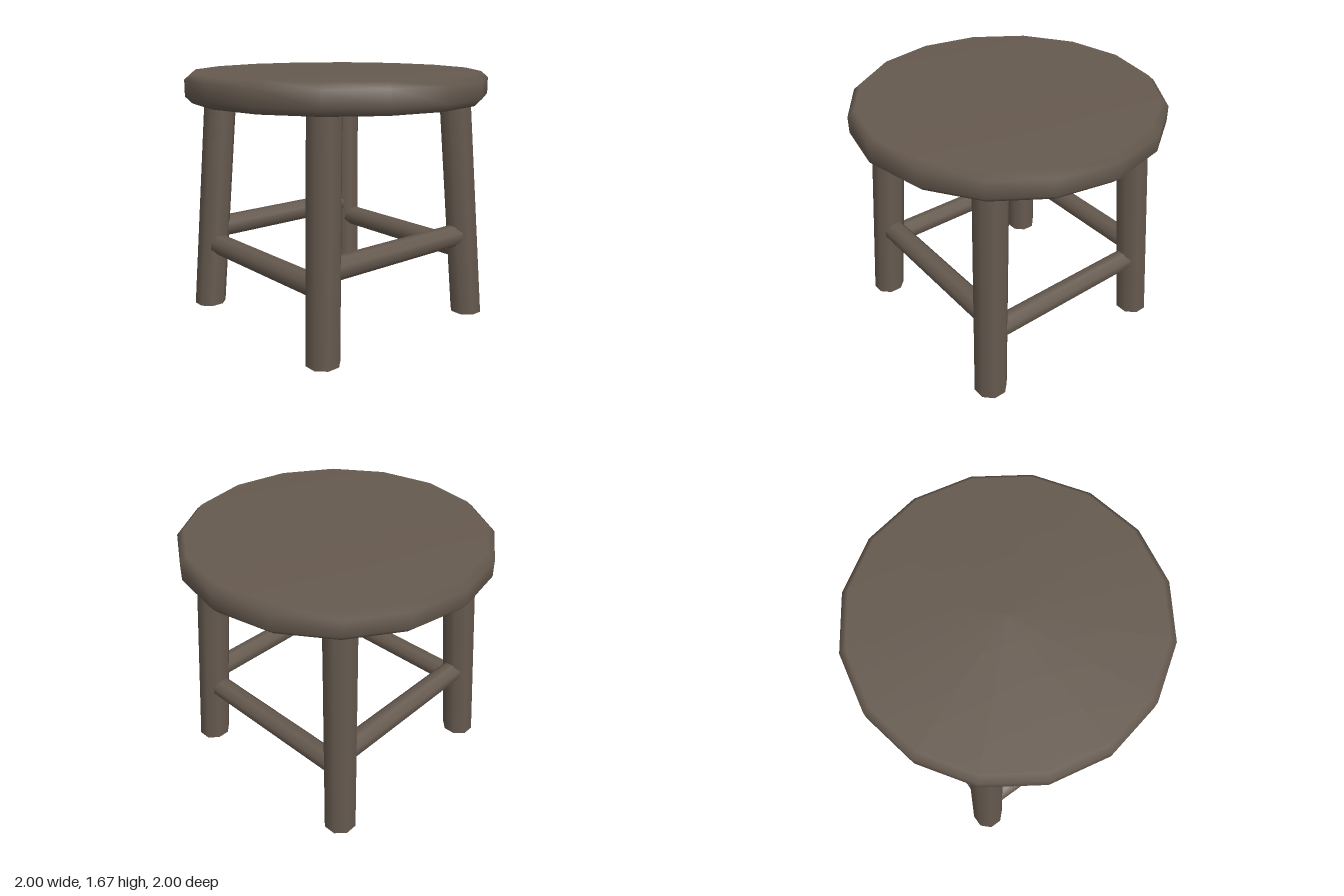
import * as THREE from 'three';

export function createModel() {
  const stool = new THREE.Group();
  stool.name = 'stool';
  const wood = new THREE.MeshStandardMaterial({ color: 0x665a4f });
  wood.name = 'darkWood';

  const add = (geometry, name) => {
    const mesh = new THREE.Mesh(geometry, wood);
    mesh.name = name;
    stool.add(mesh);
    return mesh;
  };

  // Octagonal bar along y, flat sides facing the axes
  const bar = (halfWidth, length) => {
    const r = halfWidth / Math.cos(Math.PI / 8);
    return new THREE.CylinderGeometry(r, r, length, 8, 1, false, Math.PI / 8);
  };

  // Sixteen-sided round seat with bevelled rims
  const profile = [[0, 1.48], [0.955, 1.48], [1, 1.525], [1, 1.63], [0.955, 1.67], [0, 1.67]]
    .map(([r, y]) => new THREE.Vector2(r, y));
  add(new THREE.LatheGeometry(profile, 16), 'seat');

  // Splayed legs, sheared so that the feet lie flat on the ground
  const legHeight = 1.53, splay = 0.061;
  for (const sx of [-1, 1]) {
    for (const sz of [-1, 1]) {
      const leg = bar(0.1, legHeight).translate(0, legHeight / 2, 0);
      const p = leg.attributes.position;
      for (let i = 0; i < p.count; i++) {
        const offset = 0.65 - splay * p.getY(i);
        p.setX(i, p.getX(i) + sx * offset);
        p.setZ(i, p.getZ(i) + sz * offset);
      }
      leg.computeBoundingSphere();
      add(leg, `${sz > 0 ? 'front' : 'back'}${sx > 0 ? 'Left' : 'Right'}Leg`);
    }
  }

  // Stretchers: the front and back pair sits lower than the side pair
  for (const s of [-1, 1]) {
    const cross = add(bar(0.067, 1.24).rotateZ(Math.PI / 2), s > 0 ? 'frontStretcher' : 'backStretcher');
    cross.position.set(0, 0.452, s * 0.622);
    const side = add(bar(0.069, 1.23).rotateX(Math.PI / 2), s > 0 ? 'leftStretcher' : 'rightStretcher');
    side.position.set(s * 0.616, 0.56, 0);
  }
  return stool;
}
